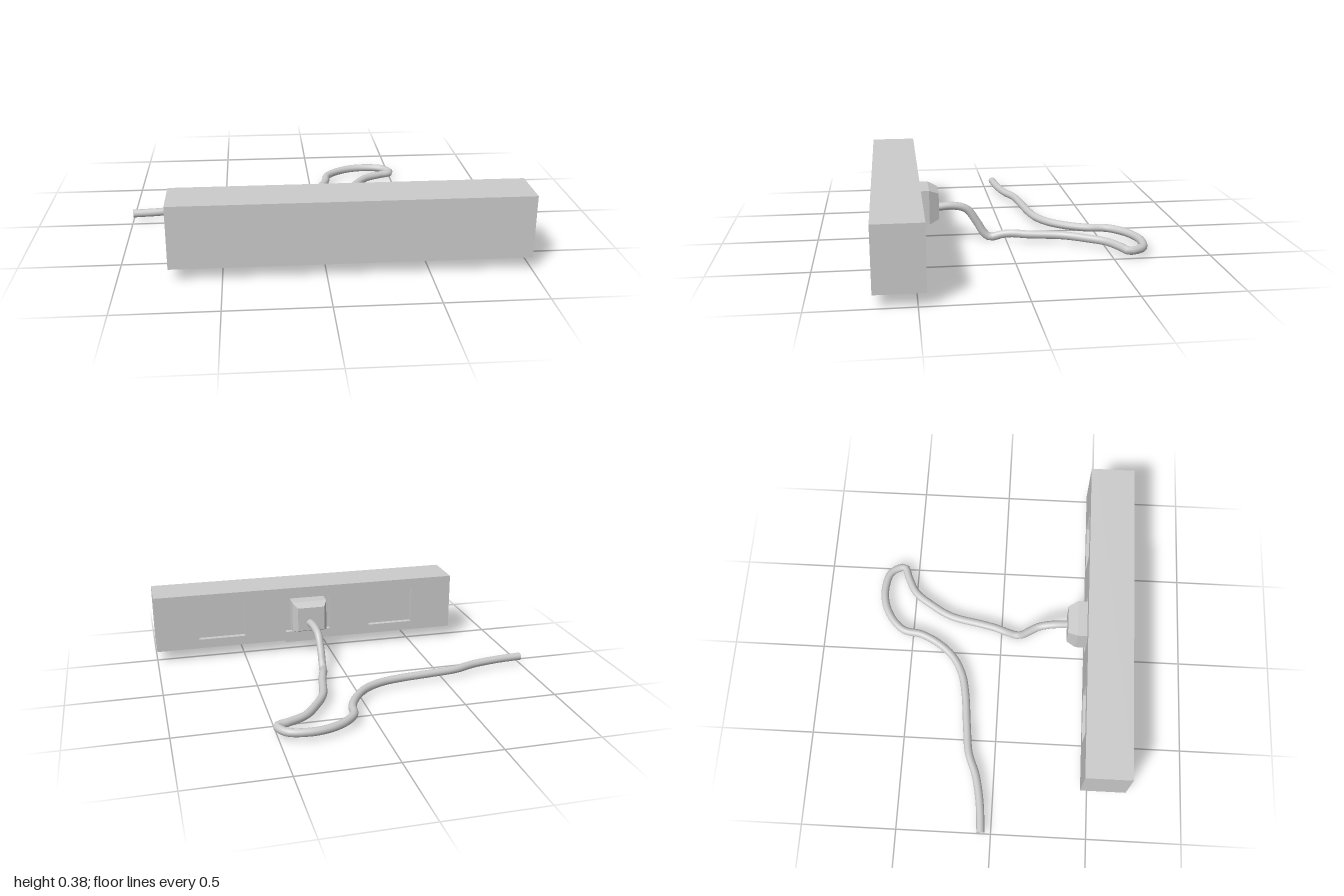
import * as THREE from 'three';

const grey = new THREE.MeshStandardMaterial({ color: 0xcccccc });
const flat = new THREE.MeshStandardMaterial({ color: 0xcccccc, flatShading: true });
const twoSided = new THREE.MeshStandardMaterial({ color: 0xcccccc, side: THREE.DoubleSide });

// Clockwise or counter-clockwise rectangle given by its centre and size
function rect(Type, cx, cy, w, h) {
  return new Type([[-1, -1], [1, -1], [1, 1], [-1, 1]].map(
    ([sx, sy]) => new THREE.Vector2(cx + sx * w / 2, cy + sy * h / 2)));
}

export function createModel() {
  const model = new THREE.Group();
  const add = (name, geometry, material, x = 0, y = 0, z = 0) => {
    const mesh = new THREE.Mesh(geometry, material);
    mesh.name = name;
    mesh.position.set(x, y, z);
    model.add(mesh);
    return mesh;
  };

  const midX = 0.122, midY = 0.23, width = 1.755, height = 0.32;
  const back = 0.46, front = 0.7, recess = 0.03;

  // Solid body of the bar; its rear face is the floor of the sockets
  const depth = front - back - recess;
  add('body', new THREE.BoxGeometry(width, height, depth), grey, midX, midY, front - depth / 2);

  // Rear plate with three socket openings
  const plate = rect(THREE.Shape, midX, midY, width, height);
  for (const offset of [-0.503, 0, 0.503]) {
    plate.holes.push(rect(THREE.Path, midX + offset, midY - 0.005, 0.265, 0.205));
  }
  add('socketPlate', new THREE.ExtrudeGeometry(plate, { depth: recess, bevelEnabled: false }), grey, 0, 0, back);

  // Plug: straight block in the middle socket, then a tapered rear half
  const plugY = 0.228;
  add('plugBlock', new THREE.BoxGeometry(0.2, 0.18, 0.08), grey, midX, plugY, 0.45);
  const taper = new THREE.BoxGeometry(0.2, 0.18, 0.05);
  const p = taper.attributes.position;
  for (let i = 0; i < p.count; i++) {
    if (p.getZ(i) < 0) p.setXY(i, p.getX(i) * 0.77, p.getY(i) * 0.76);
  }
  taper.computeVertexNormals();
  add('plugTaper', taper, flat, midX, plugY, 0.385);

  // Cable: drops from the plug, then loops along the ground
  const path = [
    [0.13, 0.205, 0.37], [0.122, 0.207, 0.28], [0.115, 0.185, 0.21], [0.113, 0.11, 0.155],
    [0.115, 0.045, 0.115], [0.118, 0.026, 0.085], [0.13, 0.042, 0.02], [0.145, 0.049, -0.03],
    [0.165, 0.046, -0.11], [0.205, 0.046, -0.29], [0.265, 0.046, -0.4], [0.34, 0.046, -0.5],
    [0.43, 0.046, -0.55], [0.494, 0.046, -0.578], [0.485, 0.046, -0.62], [0.45, 0.046, -0.66],
    [0.35, 0.046, -0.68], [0.26, 0.046, -0.667], [0.17, 0.046, -0.62], [0.107, 0.046, -0.55],
    [0.088, 0.046, -0.45], [0.035, 0.046, -0.345], [-0.04, 0.046, -0.26], [-0.14, 0.046, -0.205],
    [-0.25, 0.046, -0.18], [-0.43, 0.046, -0.16], [-0.58, 0.046, -0.14], [-0.7, 0.046, -0.095],
    [-0.85, 0.046, -0.065], [-1, 0.046, -0.052],
  ].map(c => new THREE.Vector3(...c));
  add('cable', new THREE.TubeGeometry(new THREE.CatmullRomCurve3(path, false, 'centripetal'), 140, 0.0215, 12), twoSided);

  // Thin tab under the bar
  add('bottomTab', new THREE.PlaneGeometry(0.24, 0.042), twoSided, midX, 0.04, 0.56);

  return model;
}
